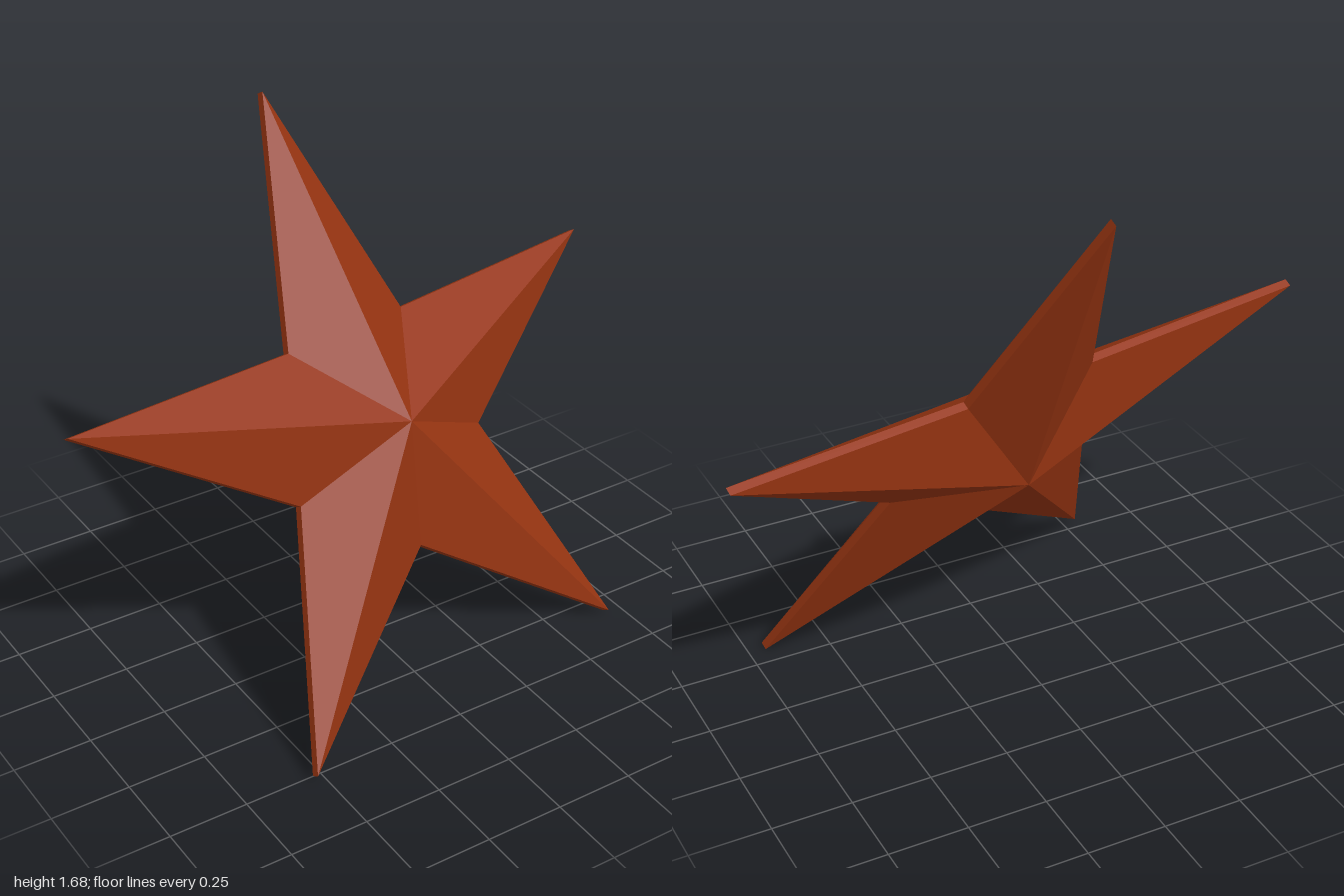
import * as THREE from 'three';

const OUTER = 1.063;   // radius of the five tips
const INNER = 0.385;   // radius of the notches
const PEAK = 0.175;    // height of the centre ridge point on each side
const RIM = 0.013;     // half the thickness of the edge band

// Corner of the ten-sided star outline, counted anticlockwise from the top tip
function corner(i, z) {
  const a = Math.PI / 2 + (i * Math.PI) / 5;
  const r = i % 2 === 0 ? OUTER : INNER;
  return [r * Math.cos(a), r * Math.sin(a), z];
}

function facets(triangles) {
  const g = new THREE.BufferGeometry();
  g.setAttribute('position', new THREE.Float32BufferAttribute(triangles.flat(2), 3));
  g.computeVertexNormals();
  return g;
}

export function createModel() {
  const rust = new THREE.MeshStandardMaterial({ color: 0x943311, flatShading: true });
  rust.name = 'rust red';

  const front = [], back = [], rim = [];
  for (let i = 0; i < 10; i++) {
    const a = corner(i, RIM), b = corner(i + 1, RIM);
    const c = corner(i, -RIM), d = corner(i + 1, -RIM);
    front.push([[0, 0, PEAK], a, b]);
    back.push([[0, 0, -PEAK], d, c]);
    rim.push([a, c, d], [a, d, b]);
  }

  const star = new THREE.Group();
  star.name = 'star';
  const parts = { frontFacets: front, backFacets: back, edgeBand: rim };
  for (const [name, triangles] of Object.entries(parts)) {
    const mesh = new THREE.Mesh(facets(triangles), rust);
    mesh.name = name;
    star.add(mesh);
  }

  // Lean the star back and turn it slightly
  const up = new THREE.Vector3(-0.068, 0.864, -0.499).normalize();
  const normal = new THREE.Vector3(0.987, -0.015, -0.163).cross(up).normalize();
  const side = up.clone().cross(normal);
  star.quaternion.setFromRotationMatrix(new THREE.Matrix4().makeBasis(side, up, normal));
  star.position.set(0.022, 0.76, 0);

  const model = new THREE.Group();
  model.name = 'tiltedStar';
  model.add(star);
  return model;
}
